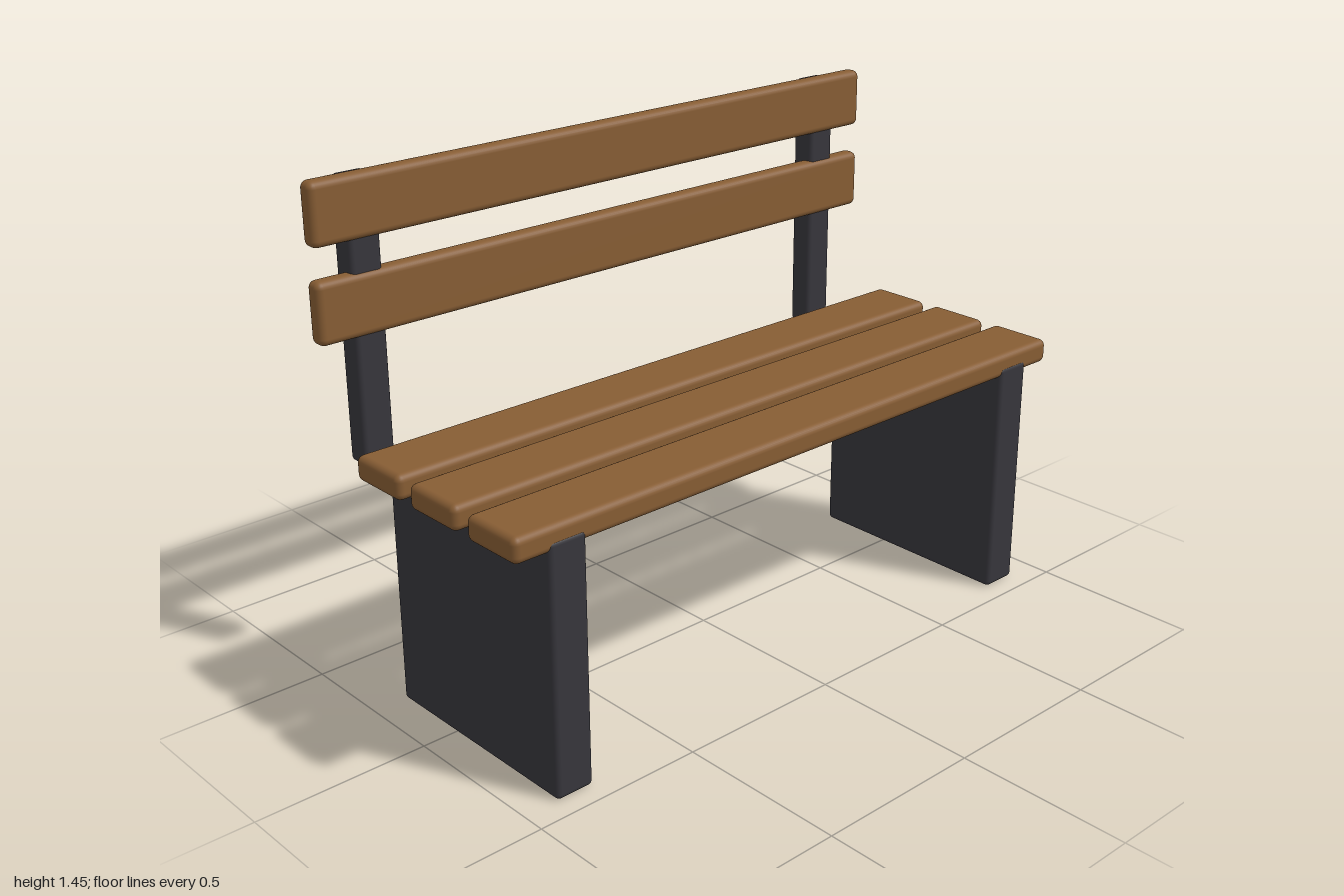
import * as THREE from 'three';
import { RoundedBoxGeometry } from 'three/addons/geometries/RoundedBoxGeometry.js';

export function createModel() {
  const bench = new THREE.Group();
  bench.name = 'bench';

  const wood = new THREE.MeshStandardMaterial({ color: 0x875d34 });
  wood.name = 'brown wood';
  const metal = new THREE.MeshStandardMaterial({ color: 0x37363c });
  metal.name = 'dark metal';

  // Rounded block given by its size and centre
  function block(name, material, size, centre, radius) {
    const mesh = new THREE.Mesh(new RoundedBoxGeometry(...size, 3, radius), material);
    mesh.name = name;
    mesh.position.set(...centre);
    bench.add(mesh);
  }

  // Three seat planks
  [0.34, 0.1, -0.138].forEach((z, i) =>
    block(`seatPlank${i + 1}`, wood, [2, 0.072, 0.194], [0, 0.724, z], 0.02));

  // Two backrest slats
  [1.102, 1.364].forEach((y, i) =>
    block(`backSlat${i + 1}`, wood, [2, 0.174, 0.054], [0, y, -0.381], 0.02));

  // Slab legs and backrest posts, mirrored left and right
  for (const [side, s] of [['left', 1], ['right', -1]]) {
    block(`${side}Leg`, metal, [0.116, 0.72, 0.678], [s * 0.842, 0.36, 0.101], 0.015);
    block(`${side}BackPost`, metal, [0.096, 0.796, 0.076], [s * 0.842, 1.044, -0.402], 0.015);
  }

  return bench;
}
